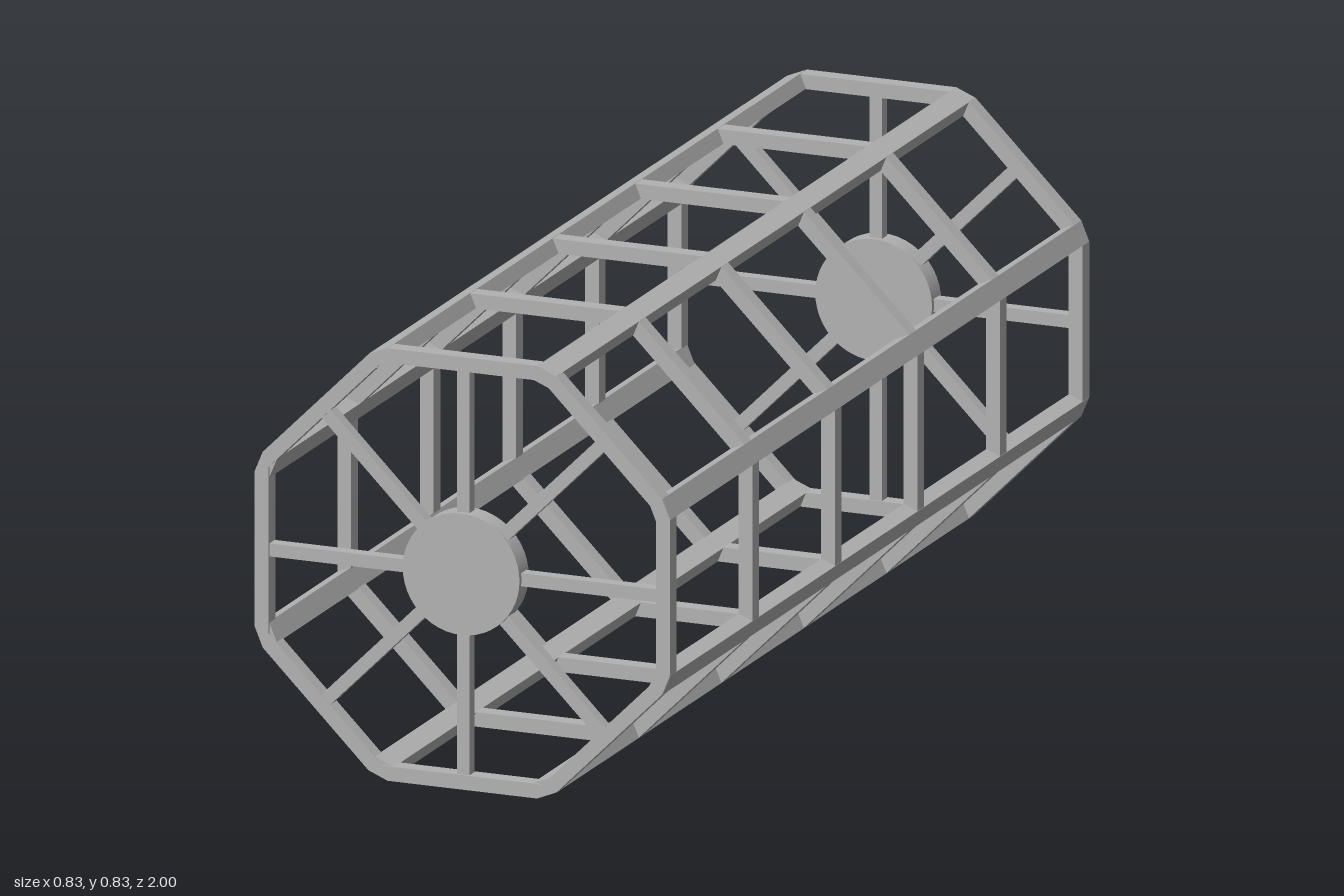
import * as THREE from 'three';

export function createModel() {
  const model = new THREE.Group();
  model.name = 'octagonalFrame';
  const metal = new THREE.MeshStandardMaterial({ color: 0xb2b2b2 });
  metal.name = 'grey metal';

  const centreY = 0.417;
  const apothem = 0.416, innerApothem = 0.388;
  const ringDepth = 0.032, endZ = 0.978;
  const railOuter = 0.442, railInner = 0.412, railWidth = 0.042;

  function add(parent, name, geometry) {
    const mesh = new THREE.Mesh(geometry, metal);
    mesh.name = name;
    parent.add(mesh);
    return mesh;
  }

  // Octagonal ring: outer corners cut flat where the rails run
  const outer = [], inner = [];
  const halfSide = apothem * Math.tan(Math.PI / 8) - 0.0225;
  for (let i = 0; i < 8; i++) {
    const face = i * Math.PI / 4, corner = face + Math.PI / 8;
    for (const s of [-1, 1]) {
      outer.push(new THREE.Vector2(apothem, s * halfSide).rotateAround(new THREE.Vector2(), face));
    }
    const r = innerApothem / Math.cos(Math.PI / 8);
    inner.push(new THREE.Vector2(r * Math.cos(corner), r * Math.sin(corner)));
  }
  const ringShape = new THREE.Shape(outer);
  ringShape.holes.push(new THREE.Path(inner));
  const ringGeometry = new THREE.ExtrudeGeometry(ringShape, { depth: ringDepth, bevelEnabled: false });
  ringGeometry.translate(0, 0, -ringDepth / 2);

  // Six evenly spaced rings
  for (let i = 0; i < 6; i++) {
    add(model, 'ring', ringGeometry).position.set(0, centreY, endZ - i * endZ * 2 / 5);
  }

  // Eight lengthwise rails at the corners
  const railGeometry = new THREE.BoxGeometry(railOuter - railInner, railWidth, endZ * 2 + 0.026);
  railGeometry.translate((railOuter + railInner) / 2, 0, 0);
  for (let i = 0; i < 8; i++) {
    const rail = add(model, 'rail', railGeometry);
    rail.position.y = centreY;
    rail.rotation.z = (i + 0.5) * Math.PI / 4;
  }

  // Spoked wheel with a round hub at each end
  const hubGeometry = new THREE.CylinderGeometry(0.117, 0.117, 0.044, 48);
  hubGeometry.rotateX(Math.PI / 2);
  const spokeStart = 0.09, spokeEnd = 0.4;
  const spokeGeometry = new THREE.BoxGeometry(spokeEnd - spokeStart, 0.025, 0.025);
  spokeGeometry.translate((spokeStart + spokeEnd) / 2, 0, 0);
  for (const side of [1, -1]) {
    const wheel = new THREE.Group();
    wheel.name = side > 0 ? 'frontWheel' : 'backWheel';
    wheel.position.set(0, centreY, side * endZ);
    add(wheel, 'hub', hubGeometry);
    for (let i = 0; i < 8; i++) {
      add(wheel, 'spoke', spokeGeometry).rotation.z = i * Math.PI / 4;
    }
    model.add(wheel);
  }

  return model;
}
